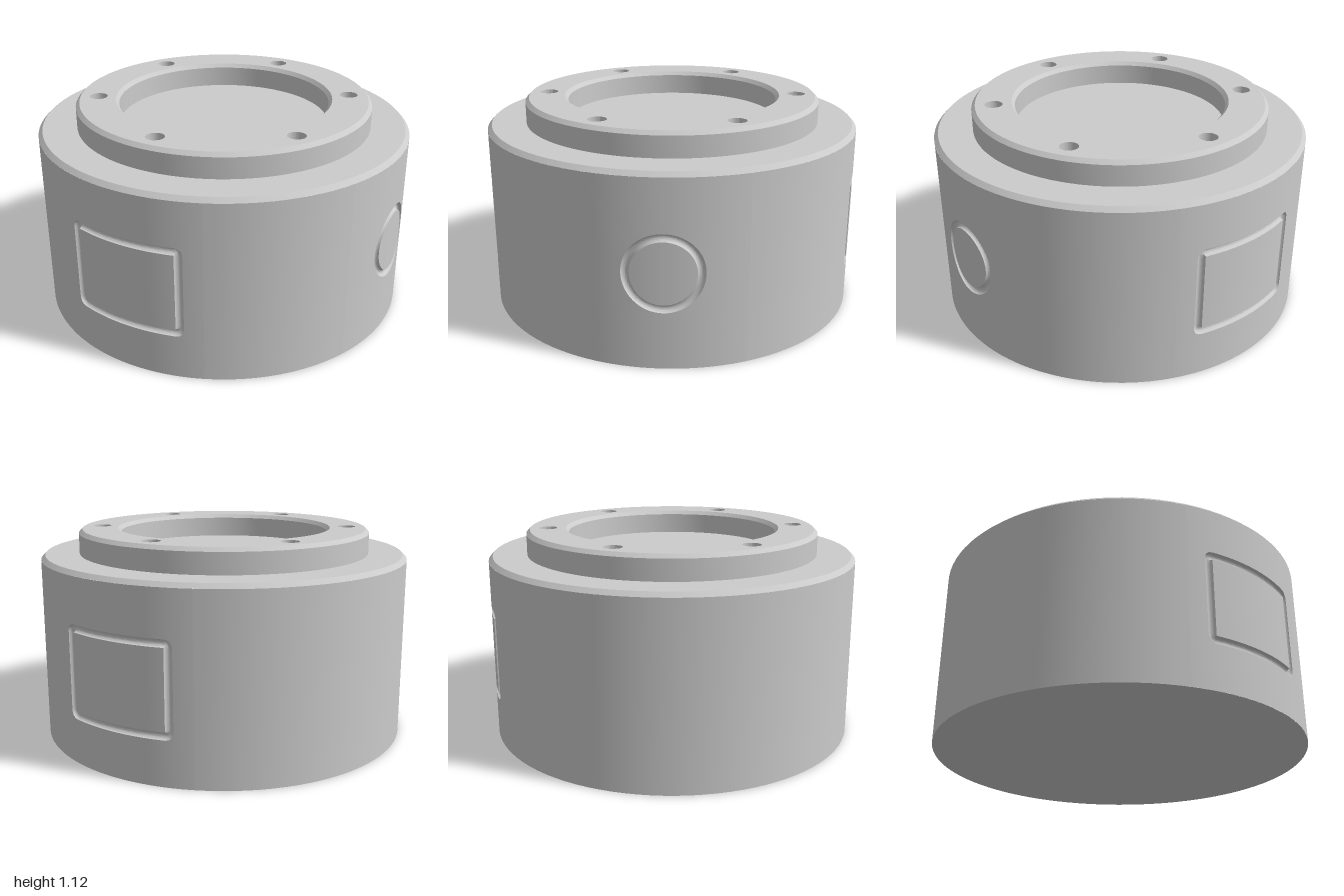
import * as THREE from 'three';
import { toCreasedNormals } from 'three/addons/utils/BufferGeometryUtils.js';

const SEG = 96;
const WALL_TOP = 0.967;   // height of the plain outer wall, below the chamfer
const PATCH = 0.4;        // half width of a wall section that carries a groove
const GROOVE = 0.02;      // radius of the half-round groove
const material = new THREE.MeshStandardMaterial({ color: 0xcccccc });

function part(name, geometry) {
  const mesh = new THREE.Mesh(toCreasedNormals(geometry, 0.6), material);
  mesh.name = name;
  return mesh;
}

function lathe(name, points, segments = SEG) {
  return part(name, new THREE.LatheGeometry(points.map(p => new THREE.Vector2(...p)), segments));
}

// Points of a square's outline, counter-clockwise, each coordinate in -1..1
function squareOutline(perSide) {
  const points = [];
  for (let side = 0; side < 4; side++) {
    for (let i = 0; i < perSide; i++) {
      let a = 1, b = -1 + 2 * i / perSide;
      for (let k = 0; k < side; k++) [a, b] = [-b, a];
      points.push([a, b]);
    }
  }
  return points;
}

// Moves the square's outline onto a rounded rectangle (a circle if r = w = h)
function roundedOutline(square, w, h, r) {
  return square.map(([a, b]) => {
    const x = a * w, y = b * h;
    const cx = THREE.MathUtils.clamp(x, r - w, w - r);
    const cy = THREE.MathUtils.clamp(y, r - h, h - r);
    const length = Math.hypot(x - cx, y - cy);
    return length > 0 ? [cx + (x - cx) * r / length, cy + (y - cy) * r / length] : [x, y];
  });
}

// Curved wall section with a raised-looking panel ringed by a half-round groove
function groovedWall(name, direction, w, h, r, centreY) {
  const square = squareOutline(32);
  const rings = [];   // each: { points, depth }

  // panel, from its centre outwards
  const inner = roundedOutline(square, w, h, r);
  for (let i = 0; i <= 10; i++) {
    rings.push({ points: inner.map(([x, y]) => [x * i / 10, y * i / 10]), depth: 0 });
  }
  // groove
  for (let i = 1; i <= 10; i++) {
    const angle = Math.PI * i / 10;
    const d = GROOVE * (1 - Math.cos(angle));
    rings.push({ points: roundedOutline(square, w + d, h + d, r + d), depth: GROOVE * Math.sin(angle) });
  }
  // surrounding wall, out to the section's straight edges
  const outer = rings[rings.length - 1].points;
  for (let i = 1; i <= 6; i++) {
    const t = i / 6;
    const points = square.map(([a, b], j) => [
      THREE.MathUtils.lerp(outer[j][0], a * PATCH, t),
      THREE.MathUtils.lerp(outer[j][1], b > 0 ? b * (WALL_TOP - centreY) : b * centreY, t),
    ]);
    rings.push({ points, depth: 0 });
  }

  const positions = [], index = [], n = square.length;
  rings.forEach(({ points, depth }, i) => {
    points.forEach(([x, y], j) => {
      const s = 1 - depth;
      positions.push(x * s, centreY + y, Math.sqrt(1 - x * x) * s);
      if (i === rings.length - 1) return;
      const a = i * n + j, b = i * n + (j + 1) % n;
      if (i > 0) index.push(a, b + n, b);
      index.push(a, a + n, b + n);
    });
  });
  const geometry = new THREE.BufferGeometry();
  geometry.setAttribute('position', new THREE.Float32BufferAttribute(positions, 3));
  geometry.setIndex(index);
  geometry.rotateY(direction);
  return part(name, geometry);
}

// Plain wall between two directions, measured from +z towards +x
function plainWall(name, from, to) {
  const segments = Math.ceil((to - from) / (2 * Math.PI) * SEG);
  const geometry = new THREE.CylinderGeometry(1, 1, WALL_TOP, segments, 1, true, from, to - from);
  return part(name, geometry.translate(0, WALL_TOP / 2, 0));
}

export function createModel() {
  const model = new THREE.Group();
  model.name = 'flangedHousing';

  // outer wall
  const half = Math.asin(PATCH), quarter = Math.PI / 2;
  model.add(
    groovedWall('frontPanelWall', 0, 0.27, 0.205, 0, 0.482),
    groovedWall('roundPanelWall', quarter, 0.16, 0.16, 0.16, 0.497),
    groovedWall('backPanelWall', 2 * quarter, 0.27, 0.205, 0, 0.482),
    plainWall('frontLeftWall', half, quarter - half),
    plainWall('backLeftWall', quarter + half, 2 * quarter - half),
    plainWall('plainSideWall', 2 * quarter + half, 4 * quarter - half),
  );

  // base, shoulder with flange side, and shallow bore
  model.add(
    lathe('base', [[0, 0], [1, 0]]),
    lathe('shoulderAndFlange', [[1, WALL_TOP], [0.978, 0.99], [0.795, 0.99], [0.795, 1.1], [0.775, 1.12]]),
    lathe('bore', [[0.583, 1.12], [0.565, 1.1], [0.565, 0.99], [0, 0.99]]),
  );

  // flange top face, pierced by the bore and six drilled holes
  const face = new THREE.Shape().absarc(0, 0, 0.775, 0, 2 * Math.PI);
  face.holes.push(new THREE.Path().absarc(0, 0, 0.583, 0, 2 * Math.PI, true));
  for (let i = 0; i < 6; i++) {
    const angle = Math.PI / 2 + i * Math.PI / 3;
    const x = 0.677 * Math.cos(angle), y = 0.677 * Math.sin(angle);
    face.holes.push(new THREE.Path().absarc(x, y, 0.048, 0, 2 * Math.PI, true));
    const hole = lathe('drilledHole', [[0.048, 1.12], [0.048, 1.02], [0, 0.992]], 48);
    hole.position.set(x, 0, -y);
    model.add(hole);
  }
  model.add(part('flangeTop', new THREE.ShapeGeometry(face, 48).rotateX(-Math.PI / 2).translate(0, 1.12, 0)));

  // the panels and holes are turned slightly about the axis
  const turned = new THREE.Group();
  turned.name = 'turnedHousing';
  turned.rotation.y = THREE.MathUtils.degToRad(8);
  turned.add(model);
  return turned;
}
